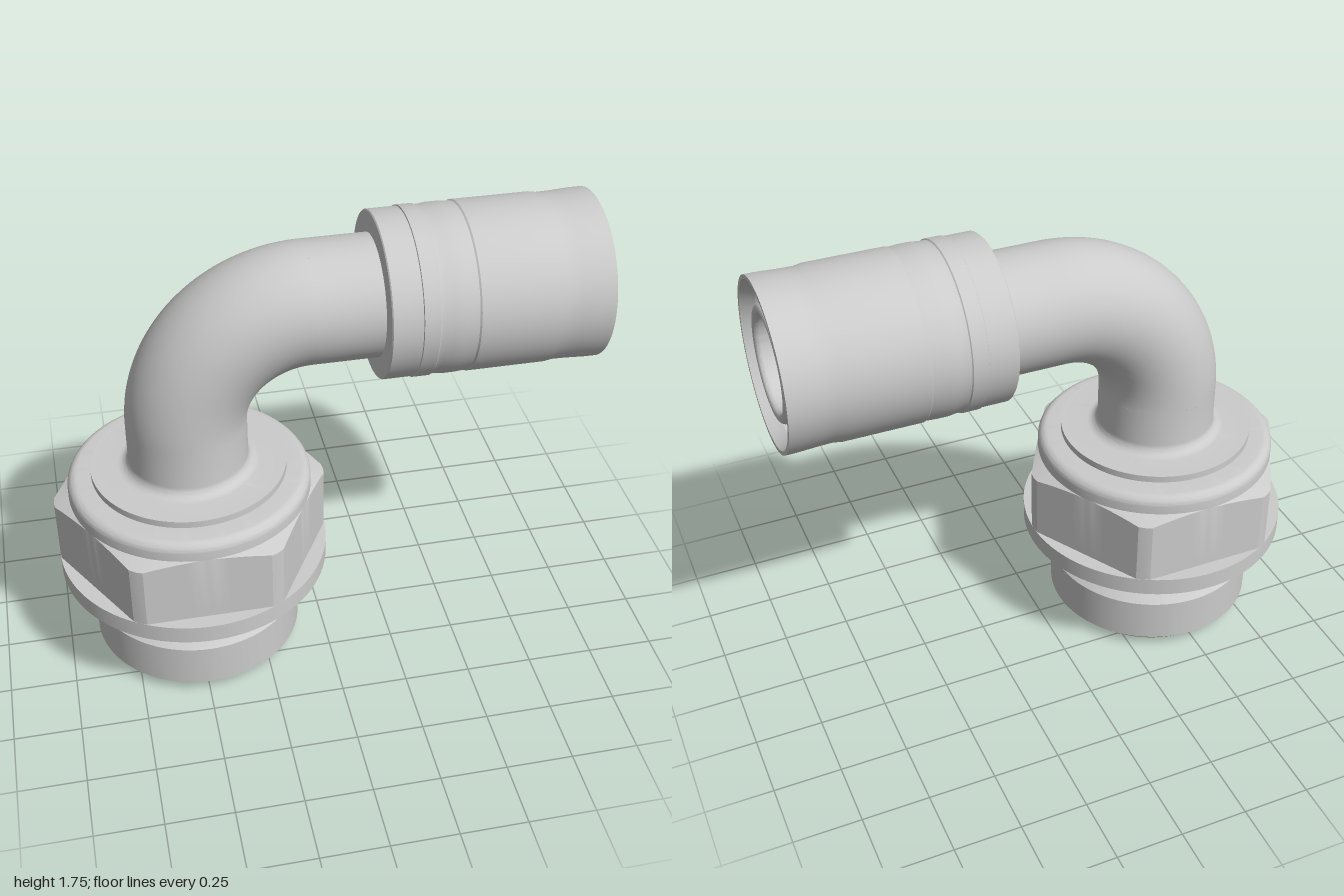
import * as THREE from 'three';
import { toCreasedNormals } from 'three/addons/utils/BufferGeometryUtils.js';

const BASE_X = -0.4875;   // vertical axis of the base
const PIPE_Y = 1.445;     // height of the horizontal axis
const PIPE_R = 0.223;
const BORE_R = 0.168;
const BEND_R = 0.445;     // centreline radius of the elbow
const BEND_X = BASE_X + BEND_R;
const BEND_Y = PIPE_Y - BEND_R;
const SEGMENTS = 120;

const grey = new THREE.MeshStandardMaterial({ color: 0xcccccc });
const greyInside = new THREE.MeshStandardMaterial({ color: 0xcccccc, side: THREE.BackSide });

// Points on an arc in a profile, angles in degrees
function arc(cx, cy, r, from, to, steps = 8) {
  return Array.from({ length: steps + 1 }, (_, i) => {
    const a = THREE.MathUtils.degToRad(from + (to - from) * i / steps);
    return [cx + r * Math.cos(a), cy + r * Math.sin(a)];
  });
}

function lathe(profile) {
  return new THREE.LatheGeometry(profile.map(([r, y]) => new THREE.Vector2(r, y)), SEGMENTS);
}

function createModel() {
  const model = new THREE.Group();

  function add(name, geometry, x, y, material = grey) {
    const mesh = new THREE.Mesh(geometry, material);
    mesh.name = name;
    mesh.position.set(x, y, 0);
    model.add(mesh);
  }
  const upright = (name, profile) =>
    add(name, toCreasedNormals(lathe(profile), 0.35), BASE_X, 0);
  const sideways = (name, profile) =>
    add(name, toCreasedNormals(lathe(profile).rotateZ(-Math.PI / 2), 0.35), 0, PIPE_Y);

  // Plug end with relief groove and round flange
  upright('threadedPlug', [
    [0.22, 0], [0.355, 0], [0.4, 0.045], [0.4, 0.215], [0.352, 0.26],
    [0.352, 0.345], ...arc(0.374, 0.348, 0.022, 180, 90, 6),
    [0.5125, 0.37], [0.5125, 0.44], [0.44, 0.44],
  ]);

  // Hexagon with corners cut to the flange radius and a conical top chamfer
  const flat = 0.455, top = 0.71;
  const hex = lathe([[flat, 0.438], [flat, top], [flat, top]]);
  const p = hex.attributes.position;
  for (let i = 0; i < p.count; i++) {
    const row = i % 3;
    if (row === 2) continue;
    const phi = Math.atan2(p.getX(i), p.getZ(i));
    const off = phi - Math.round(phi / (Math.PI / 3)) * Math.PI / 3;
    const r = Math.min(0.5125, flat / Math.cos(off));
    const y = row === 0 ? 0.438 : top - 0.002 - (r - flat) * 0.35;
    p.setXYZ(i, r * Math.sin(phi), y, r * Math.cos(phi));
  }
  add('hexNut', toCreasedNormals(hex, 0.3), BASE_X, 0);

  // Rounded shoulder above the hexagon
  upright('nutShoulder', [
    [0.455, 0.7], ...arc(0.418, 0.743, 0.037, 0, 90), [0.34, 0.78],
  ]);

  // Collar flowing into the vertical pipe
  upright('collar', [
    [0.352, 0.775], [0.352, 0.789], [0.365, 0.789], [0.365, 0.815],
    ...arc(PIPE_R + 0.04, 0.855, 0.04, 270, 180), [PIPE_R, BEND_Y],
  ]);

  // Bore from the elbow down to the flared mouth
  upright('lowerBore', [[BORE_R, BEND_Y], [BORE_R, 0.4], [0.22, 0]]);

  // Quarter-turn elbow, outside and inside
  const bend = (r) =>
    new THREE.TorusGeometry(BEND_R, r, 72, 60, Math.PI / 2).rotateZ(Math.PI / 2);
  add('elbow', bend(PIPE_R), BEND_X, BEND_Y);
  add('elbowBore', bend(BORE_R), BEND_X, BEND_Y, greyInside);

  // Straight pipe into the sleeve
  sideways('pipe', [[PIPE_R, BEND_X], [PIPE_R, 0.21]]);

  // Crimp sleeve with shallow steps and an open end
  sideways('crimpSleeve', [
    [0.2, 0.2], [0.299, 0.2], [0.303, 0.204], [0.303, 0.31], [0.307, 0.312],
    [0.307, 0.368], [0.303, 0.372], [0.302, 0.39], [0.306, 0.42], [0.306, 0.46],
    [0.303, 0.508], [0.307, 0.514], [0.307, 0.8], [0.302, 0.83], [0.303, 0.88],
    [0.307, 0.96], [0.307, 1], [0.292, 1], [0.272, 0.95], [0.272, 0.36], [0.2, 0.36],
  ]);

  // Inner nipple with rounded lip and through bore
  sideways('nipple', [
    [0.207, 0.35], ...arc(0.187, 0.965, 0.02, 0, 180, 12), [BORE_R, 0.95], [BORE_R, BEND_X],
  ]);

  return model;
}

export { createModel };
